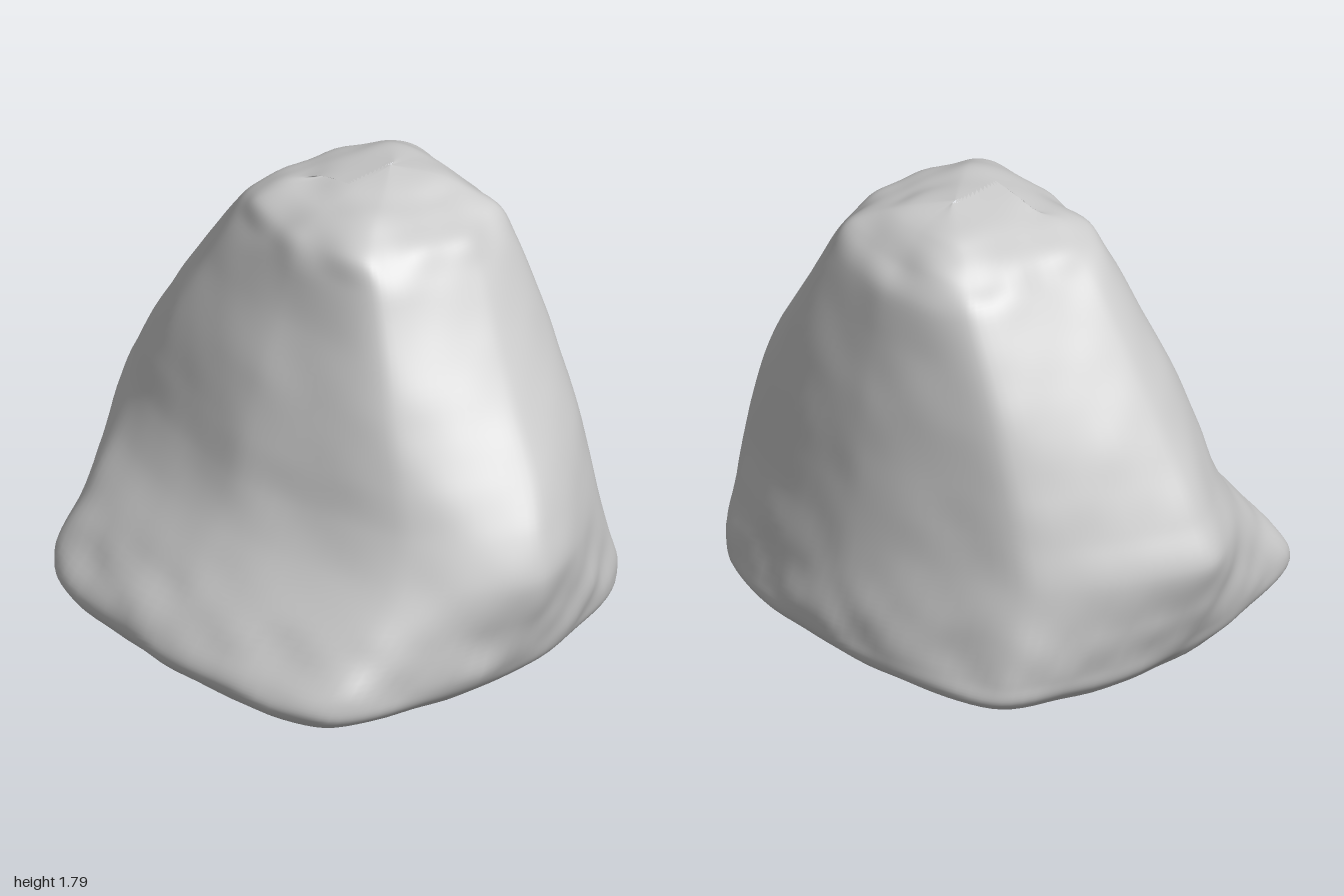
import * as THREE from 'three';

// Height, left x, right x, front z, back z, front ridge x, corner fullness
const LEVELS = [
  [0, -0.02, -0.02, 0, 0, -0.02, 1],
  [0.05, -0.18, 0.2, 0.2, -0.2, 0, 1],
  [0.11, -0.4, 0.36, 0.4, -0.4, 0, 1],
  [0.195, -0.69, 0.65, 0.7, -0.72, 0, 0.98],
  [0.275, -0.8, 0.78, 0.84, -0.83, 0, 0.985],
  [0.36, -0.8, 0.795, 0.9, -0.88, 0, 0.96],
  [0.52, -0.685, 0.77, 0.95, -0.94, 0, 0.915],
  [0.7, -0.555, 0.735, 1.0, -1.0, 0.01, 0.86],
  [0.85, -0.48, 0.71, 0.952, -0.94, 0.04, 0.86],
  [1.0, -0.43, 0.685, 0.86, -0.86, 0.09, 0.88],
  [1.2, -0.36, 0.65, 0.705, -0.74, 0.14, 0.91],
  [1.4, -0.275, 0.605, 0.56, -0.6, 0.19, 0.94],
  [1.58, -0.215, 0.565, 0.44, -0.46, 0.23, 0.96],
  [1.67, -0.17, 0.5, 0.36, -0.37, 0.24, 0.99],
  [1.725, -0.08, 0.43, 0.26, -0.27, 0.23, 1],
  [1.76, 0.06, 0.36, 0.15, -0.16, 0.23, 1],
  [1.788, 0.23, 0.23, 0, 0, 0.23, 1],
];
const COLUMNS = 112;
const ROWS = 120;

// Eight-cornered section: ridges front and back, blunt corners between
function sectionCurve([y, left, right, front, back, ridge, full]) {
  const cx = (left + right) / 2;
  const half = ((right - left) / 2) * full;
  const f = front * full;
  const b = back * full;
  const backRidge = cx * 0.2;
  const corners = [
    [ridge, front], [cx + half * 0.83, f * 0.78],
    [right, 0], [cx + half * 0.86, b * 0.8],
    [backRidge, back], [cx - half * 0.86, b * 0.79],
    [left, 0], [cx - half * 0.87, f * 0.82],
  ];
  const points = corners.map(([x, z]) => new THREE.Vector3(x, y, z));
  return new THREE.CatmullRomCurve3(points, true, 'catmullrom', 0.36);
}

// Soft lumps round the rim and crown, faint upright streaks on the walls
function weather(p) {
  const { x, y, z } = p;
  const rim = Math.exp(-(((y - 0.4) / 0.17) ** 2));
  const crown = THREE.MathUtils.smoothstep(y, 1.5, 1.68) * THREE.MathUtils.smoothstep(1.79 - y, 0, 0.05);
  const lumps =
    Math.sin(11 * x + 3 * z + 1.3) * Math.sin(10 * z - 4 * x + 0.4) * Math.sin(15 * y + 2 * x) +
    0.6 * Math.sin(21 * x - 8 * z) * Math.cos(19 * z + 7 * x) * Math.cos(24 * y + 1);
  const streaks = Math.sin(14 * x + 1.5 * y + 0.7) * Math.cos(12 * z - y);
  const push = (0.003 + 0.013 * rim + 0.009 * crown) * lumps + 0.005 * streaks;
  const dx = x - 0.13 * y;
  const radius = Math.hypot(dx, z) + 0.15;
  p.x += (push * dx) / radius;
  p.z += (push * z) / radius;
  p.y = Math.max(0, y + push * crown);
}

function rockGeometry() {
  const sections = LEVELS.map(sectionCurve);
  const positions = [];
  const index = [];
  const stacks = [];
  for (let c = 0; c < COLUMNS; c++) {
    const track = sections.map((s) => s.getPoint(c / COLUMNS));
    stacks.push(new THREE.CatmullRomCurve3(track, false, 'catmullrom', 0.45));
  }
  for (let r = 0; r <= ROWS; r++) {
    for (let c = 0; c < COLUMNS; c++) {
      const p = stacks[c].getPoint(r / ROWS);
      weather(p);
      positions.push(p.x, p.y, p.z);
    }
  }
  for (let r = 0; r < ROWS; r++) {
    for (let c = 0; c < COLUMNS; c++) {
      const a = r * COLUMNS + c;
      const b = r * COLUMNS + ((c + 1) % COLUMNS);
      if (r > 0) index.push(a, b, b + COLUMNS);
      if (r < ROWS - 1) index.push(a, b + COLUMNS, a + COLUMNS);
    }
  }
  const geometry = new THREE.BufferGeometry();
  geometry.setAttribute('position', new THREE.Float32BufferAttribute(positions, 3));
  geometry.setIndex(index);
  geometry.computeVertexNormals();
  return geometry;
}

export function createModel() {
  const group = new THREE.Group();
  group.name = 'boulder';
  const material = new THREE.MeshStandardMaterial({ color: 0xcccccc });
  const rock = new THREE.Mesh(rockGeometry(), material);
  rock.name = 'rock';
  group.add(rock);
  return group;
}
